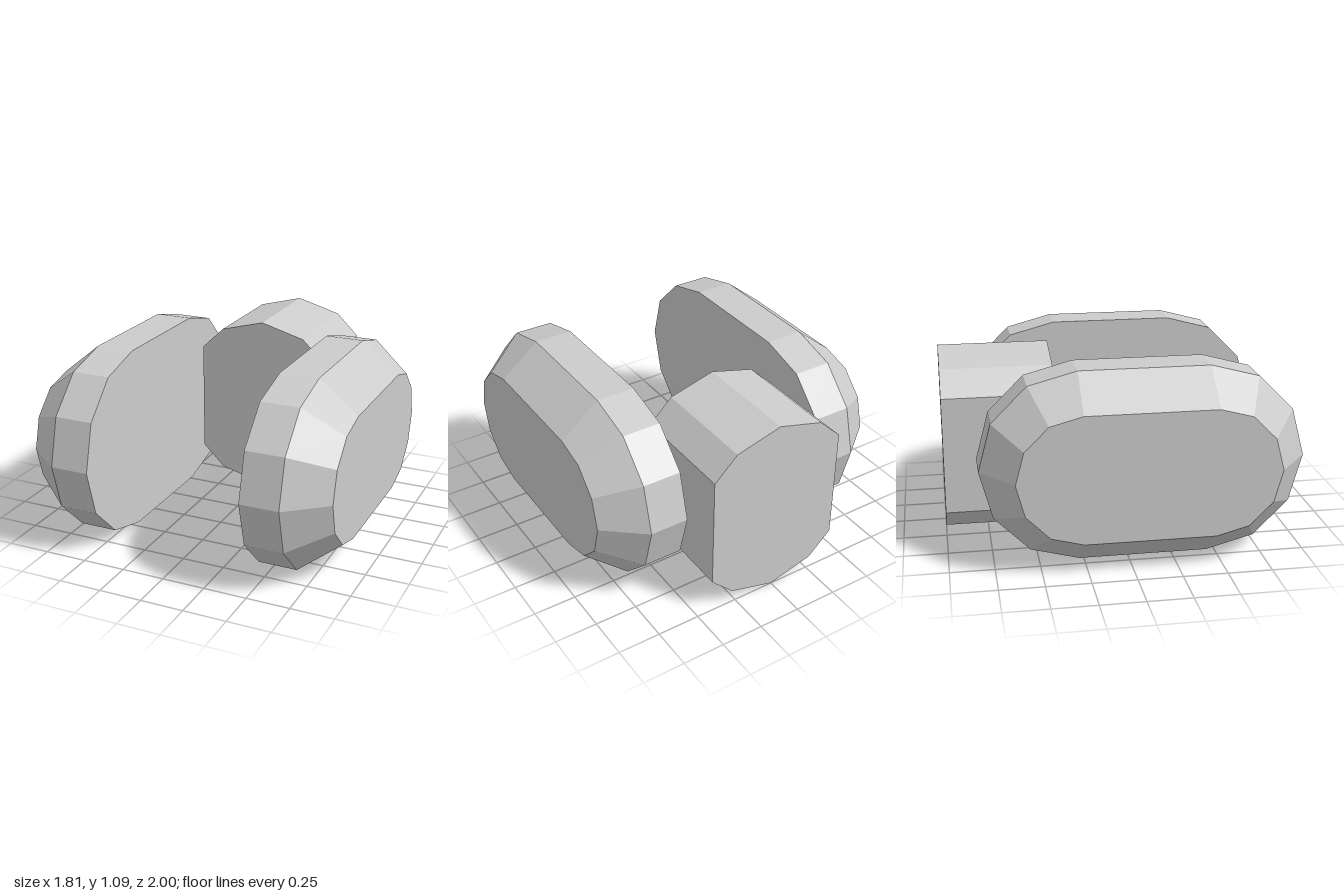
import * as THREE from 'three';

const MID_Y = 0.545;
const FRONT_Z = 0.455, BACK_Z = -0.275; // centres of the rounded pod ends

// Stadium-shaped ring in the plane at x, with six-segment ends
function podRing(x, r) {
  const ring = [];
  for (const [z, start] of [[FRONT_Z, -Math.PI / 2], [BACK_Z, Math.PI / 2]]) {
    for (let i = 0; i <= 6; i++) {
      const a = start + (i * Math.PI) / 6;
      ring.push(new THREE.Vector3(x, MID_Y + r * Math.sin(a), z + r * Math.cos(a)));
    }
  }
  return ring;
}

// Closed skin through rings ordered by increasing x
function loft(rings) {
  const pos = [];
  const tri = (a, b, c) => pos.push(...a.toArray(), ...b.toArray(), ...c.toArray());
  const n = rings[0].length, first = rings[0], last = rings[rings.length - 1];
  for (let k = 0; k < rings.length - 1; k++) {
    const a = rings[k], b = rings[k + 1];
    for (let i = 0; i < n; i++) {
      const j = (i + 1) % n;
      tri(a[i], b[i], b[j]);
      tri(a[i], b[j], a[j]);
    }
  }
  for (let i = 1; i < n - 1; i++) {
    tri(first[0], first[i], first[i + 1]);
    tri(last[0], last[i + 1], last[i]);
  }
  const geo = new THREE.BufferGeometry();
  geo.setAttribute('position', new THREE.Float32BufferAttribute(pos, 3));
  geo.computeVertexNormals();
  return geo;
}

export function createModel() {
  const model = new THREE.Group();
  const material = new THREE.MeshStandardMaterial({ color: 0xcccccc, flatShading: true });
  const add = (name, geometry) => {
    const mesh = new THREE.Mesh(geometry, material);
    mesh.name = name;
    model.add(mesh);
    return mesh;
  };

  // Central body: faceted prism at the rear
  const half = [[0, 0], [0.27, 0.075], [0.407, 0.208], [0.407, 0.884], [0.27, 1.016], [0, 1.09]];
  const outline = [...half, ...half.slice(1, -1).reverse().map(([x, y]) => [-x, y])];
  const shape = new THREE.Shape(outline.map(([x, y]) => new THREE.Vector2(x, y)));
  const body = new THREE.ExtrudeGeometry(shape, { depth: 0.635, bevelEnabled: false });
  add('body', body).position.z = -1;

  // Side pods, bevelled on the outside, each joined to the body by a short strut
  for (const [side, s] of [['left', 1], ['right', -1]]) {
    const rings = [[0.455, 0.545], [0.68, 0.545], [0.905, 0.363]].map(([x, r]) => podRing(s * x, r));
    if (s < 0) rings.reverse();
    add(side + 'Pod', loft(rings));
    add(side + 'Strut', new THREE.BoxGeometry(0.09, 0.091, 0.091)).position.set(s * 0.42, MID_Y, -0.637);
  }

  return model;
}
